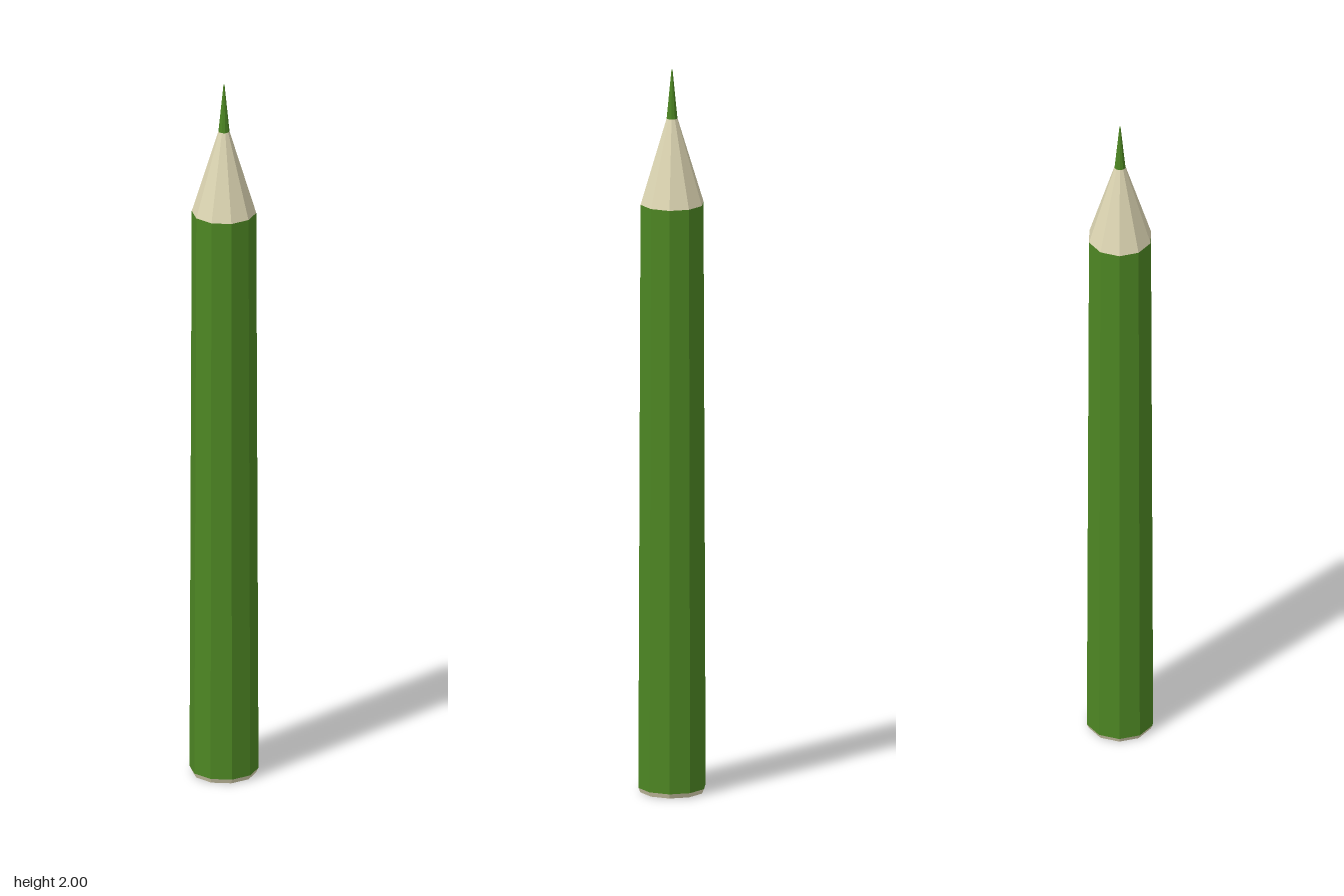
import * as THREE from 'three';

const SIDES = 10;

export function createModel() {
  const pencil = new THREE.Group();
  pencil.name = 'pencil';

  const green = new THREE.MeshStandardMaterial({ color: 0x4d8623, flatShading: true });
  green.name = 'green paint';
  const wood = new THREE.MeshStandardMaterial({ color: 0xdcd5b2, flatShading: true });
  wood.name = 'bare wood';

  // Ten-sided tapered section between two heights
  function section(name, material, y0, r0, y1, r1, open = true) {
    const geometry = new THREE.CylinderGeometry(r1, r0, y1 - y0, SIDES, 1, open);
    const mesh = new THREE.Mesh(geometry, material);
    mesh.name = name;
    mesh.position.y = (y0 + y1) / 2;
    pencil.add(mesh);
  }

  // Bevelled wooden end, closed underneath
  section('woodenEnd', wood, 0, 0.087, 0.013, 0.093, false);
  // Painted barrel, slightly narrower towards the tip
  section('barrel', green, 0.013, 0.093, 1.63, 0.087);
  // Sharpened wooden cone
  section('sharpenedCone', wood, 1.63, 0.087, 1.865, 0.015);
  // Coloured lead
  section('lead', green, 1.865, 0.015, 2, 0.0015, false);

  return pencil;
}
